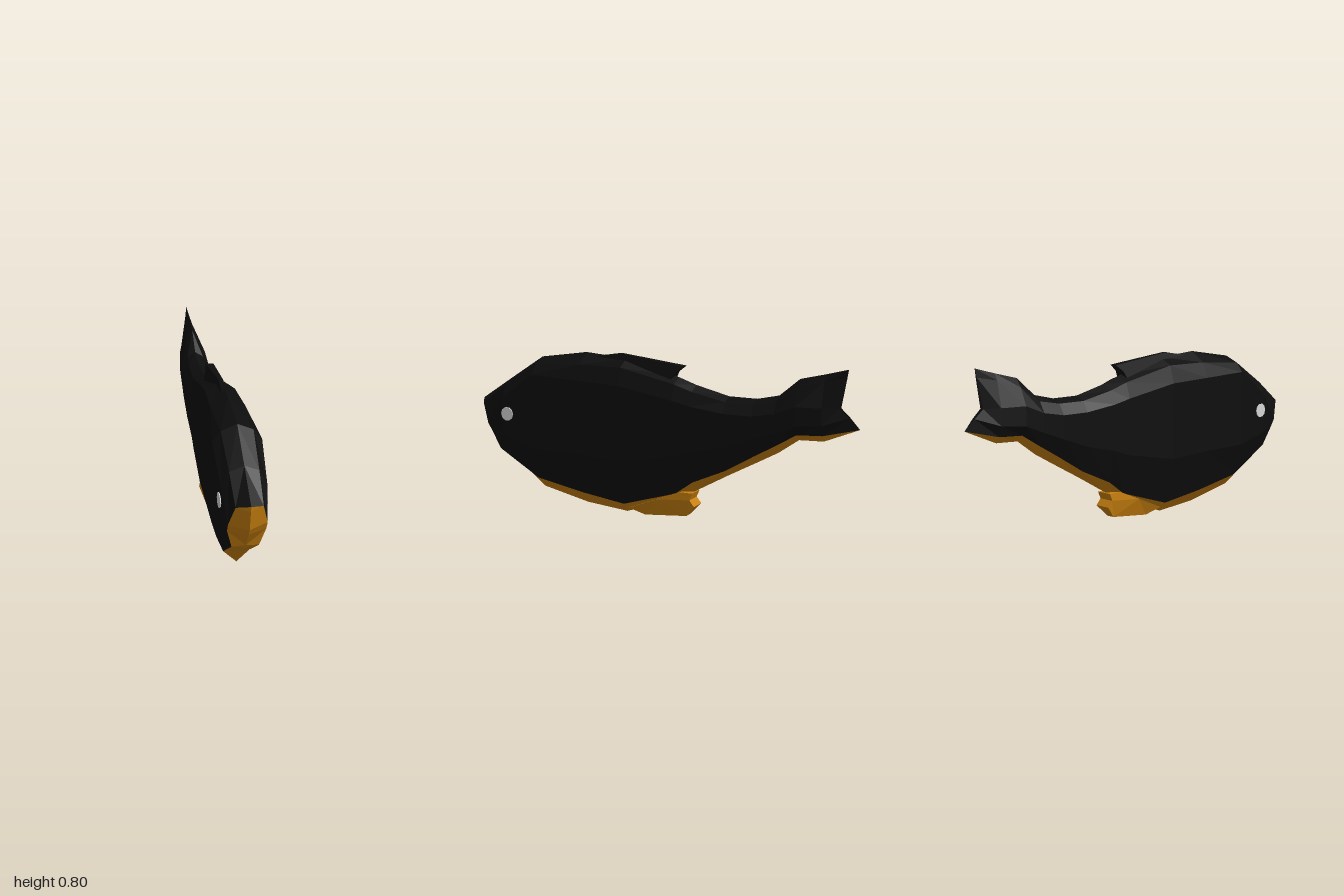
import * as THREE from 'three';

const mat = (name, color, side = THREE.FrontSide) => {
  const m = new THREE.MeshStandardMaterial({ color, flatShading: true, side });
  m.name = name;
  return m;
};

// Faceted skin between rows of half-profile points (top to bottom), mirrored in x
function mirroredSkin(name, rows, material) {
  const pos = [];
  const tri = (a, b, c) => {
    pos.push(...a, ...b, ...c);
    for (const [x, y, z] of [a, c, b]) pos.push(-x, y, z);
  };
  for (let i = 0; i < rows.length - 1; i++) {
    for (let j = 0; j < rows[i].length - 1; j++) {
      const a = rows[i][j], b = rows[i][j + 1], c = rows[i + 1][j], d = rows[i + 1][j + 1];
      tri(a, b, c);
      tri(b, d, c);
    }
  }
  const geo = new THREE.BufferGeometry();
  geo.setAttribute('position', new THREE.Float32BufferAttribute(pos, 3));
  geo.computeVertexNormals();
  const mesh = new THREE.Mesh(geo, material);
  mesh.name = name;
  return mesh;
}

// Fin cut from a (z, y) outline, its half width given by a rule of height
function fin(name, outline, halfWidth, material) {
  const shape = new THREE.Shape(outline.map(([z, y]) => new THREE.Vector2(z, y)));
  const geo = new THREE.ExtrudeGeometry(shape, { depth: 2, bevelEnabled: false });
  geo.translate(0, 0, -1).rotateY(-Math.PI / 2);
  const p = geo.attributes.position;
  for (let i = 0; i < p.count; i++) p.setX(i, p.getX(i) * halfWidth(p.getY(i)));
  geo.computeVertexNormals();
  const mesh = new THREE.Mesh(geo, material);
  mesh.name = name;
  return mesh;
}

export function createModel() {
  const black = mat('black skin', 0x0d0d0d, THREE.DoubleSide);
  const orange = mat('orange belly', 0xc8800f, THREE.DoubleSide);
  const white = mat('eye white', 0xd6d6d6);
  const fish = new THREE.Group();
  fish.name = 'fish';

  // Rim of the mouth patch and its centre line
  const rim = [[0, .51, 1], [.06, .495, .965], [.085, .40, .925], [.085, .36, .90], [.06, .27, .87], [0, .26, .87]];
  const lips = [[0, .51, 1], [0, .485, .995], [0, .39, .97], [0, .36, .95], [0, .28, .885], [0, .26, .87]];

  // z, ridge y, shoulder x y, flank x, flank upper y, flank lower y, belly edge x y, keel y
  const stations = [
    [.83, .625, .065, .60, .10, .535, .345, .06, .246, .228],
    [.65, .745, .072, .715, .11, .67, .30, .06, .14, .085],
    [.40, .785, .078, .735, .105, .66, .295, .05, .09, .03],
    [.18, .77, .07, .735, .095, .65, .28, .037, .055, .01],
    [-.10, .70, .06, .675, .083, .60, .33, .04, .14, .10],
    [-.19, .67, .055, .645, .08, .58, .36, .04, .205, .155],
    [-.36, .63, .05, .61, .078, .56, .40, .04, .28, .25],
    [-.50, .63, .045, .61, .075, .56, .45, .04, .363, .325],
    [-.61, .655, .04, .63, .07, .58, .49, .04, .425, .385],
    [-.71, .74, .03, .70, .066, .62, .53, .035, .485, .455],
    [-.83, .77, .015, .74, .042, .62, .54, .025, .49, .46],
  ];
  // The last row is the notched trailing edge of the tail
  const tail = [[0, .80, -.94], [.004, .76, -.932], [.01, .62, -.905], [.008, .58, -.95], [0, .53, -1], [0, .53, -1]];
  const rows = [rim, ...stations.map(([z, top, sx, sy, w, up, lo, bx, by, keel]) =>
    [[0, top, z], [sx, sy, z], [w, up, z], [w, lo, z], [bx, by, z], [0, keel, z]]), tail];

  fish.add(mirroredSkin('body', rows.map(r => r.slice(0, 5)), black));
  fish.add(mirroredSkin('belly', rows.map(r => r.slice(4)), orange));
  fish.add(mirroredSkin('mouth', [lips, rim], orange));

  // Fins
  fish.add(fin('dorsalFin',
    [[.34, .77], [.21, .793], [-.13, .755], [-.09, .725], [-.07, .69], [-.05, .66], [.15, .70]],
    y => .008 + .25 * Math.max(0, .80 - y), black));
  fish.add(fin('pelvicFin',
    [[.16, .035], [.08, .005], [-.15, .03], [-.20, .085], [-.175, .115], [-.19, .15], [-.12, .15], [.0, .10]],
    y => Math.min(.042, .001 + .7 * y), orange));

  // Eyes
  for (const side of [1, -1]) {
    const geo = new THREE.CylinderGeometry(.035, .035, .009, 10);
    geo.rotateZ(-side * Math.PI / 2).rotateY(-side * .055);
    const eye = new THREE.Mesh(geo, white);
    eye.name = side > 0 ? 'leftEye' : 'rightEye';
    eye.position.set(side * .101, .46, .80);
    fish.add(eye);
  }
  return fish;
}
